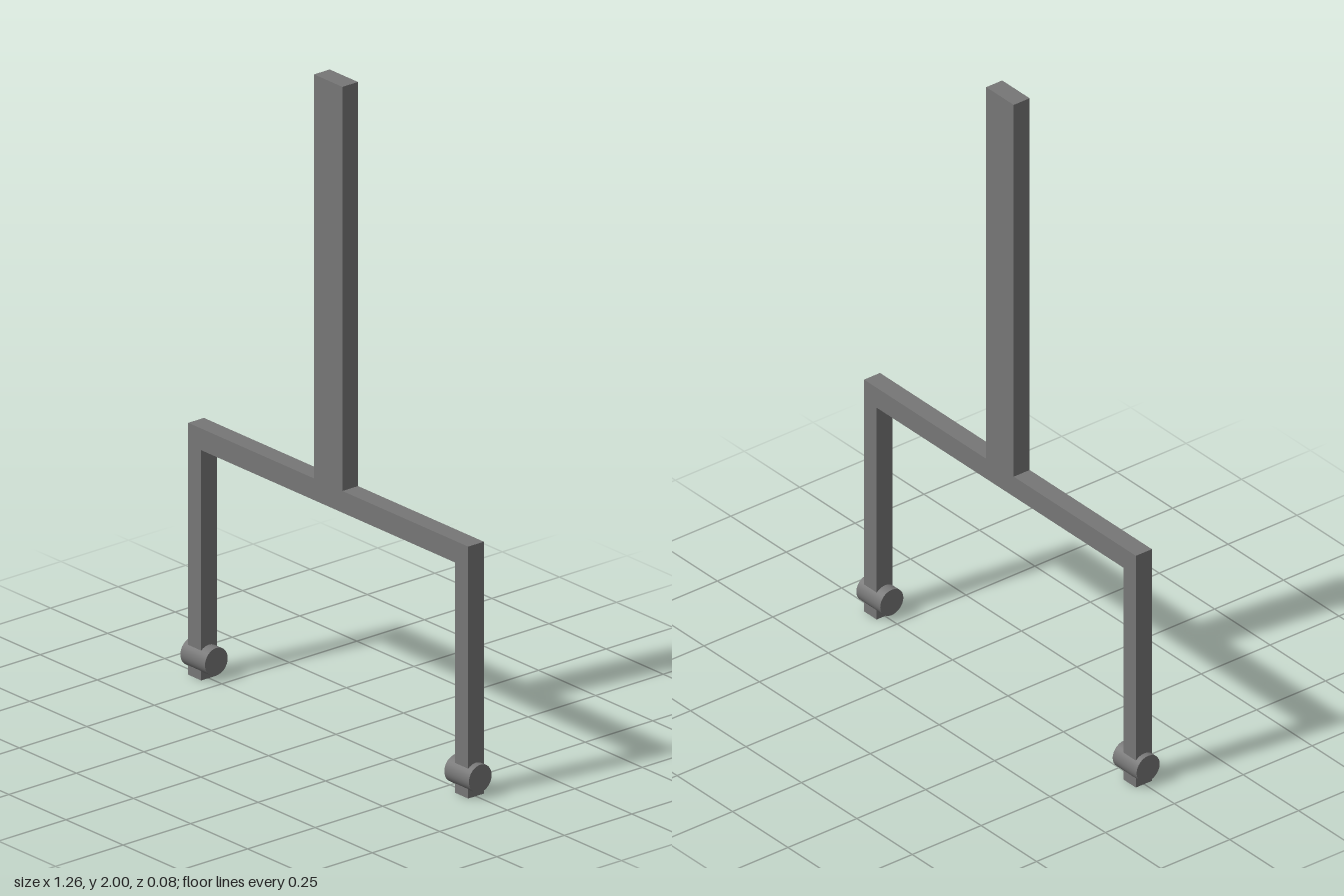
import * as THREE from 'three';

export function createModel() {
  const model = new THREE.Group();
  const material = new THREE.MeshStandardMaterial({ color: 0x767676 });

  // Flat fork frame: upright stem, crossbar and two legs in one outline
  const half = [
    [0.062, 2], [0.062, 0.768], [0.613, 0.768],
    [0.613, 0], [0.556, 0], [0.556, 0.702],
  ];
  const mirrored = half.map(([x, y]) => [-x, y]).reverse();
  const outline = [...half, ...mirrored].map(([x, y]) => new THREE.Vector2(x, y));
  const depth = 0.058;
  const frameGeometry = new THREE.ExtrudeGeometry(new THREE.Shape(outline), {
    depth, bevelEnabled: false,
  });
  frameGeometry.translate(-0.001, 0, -depth / 2 - 0.001);
  const frame = new THREE.Mesh(frameGeometry, material);
  frame.name = 'forkFrame';
  model.add(frame);

  // Round rollers across the foot of each leg
  const rollerGeometry = new THREE.CylinderGeometry(0.042, 0.042, 0.108, 32);
  rollerGeometry.rotateZ(Math.PI / 2);
  for (const side of [1, -1]) {
    const roller = new THREE.Mesh(rollerGeometry, material);
    roller.name = side > 0 ? 'leftRoller' : 'rightRoller';
    roller.position.set(side * 0.578, 0.06, 0);
    model.add(roller);
  }

  return model;
}
